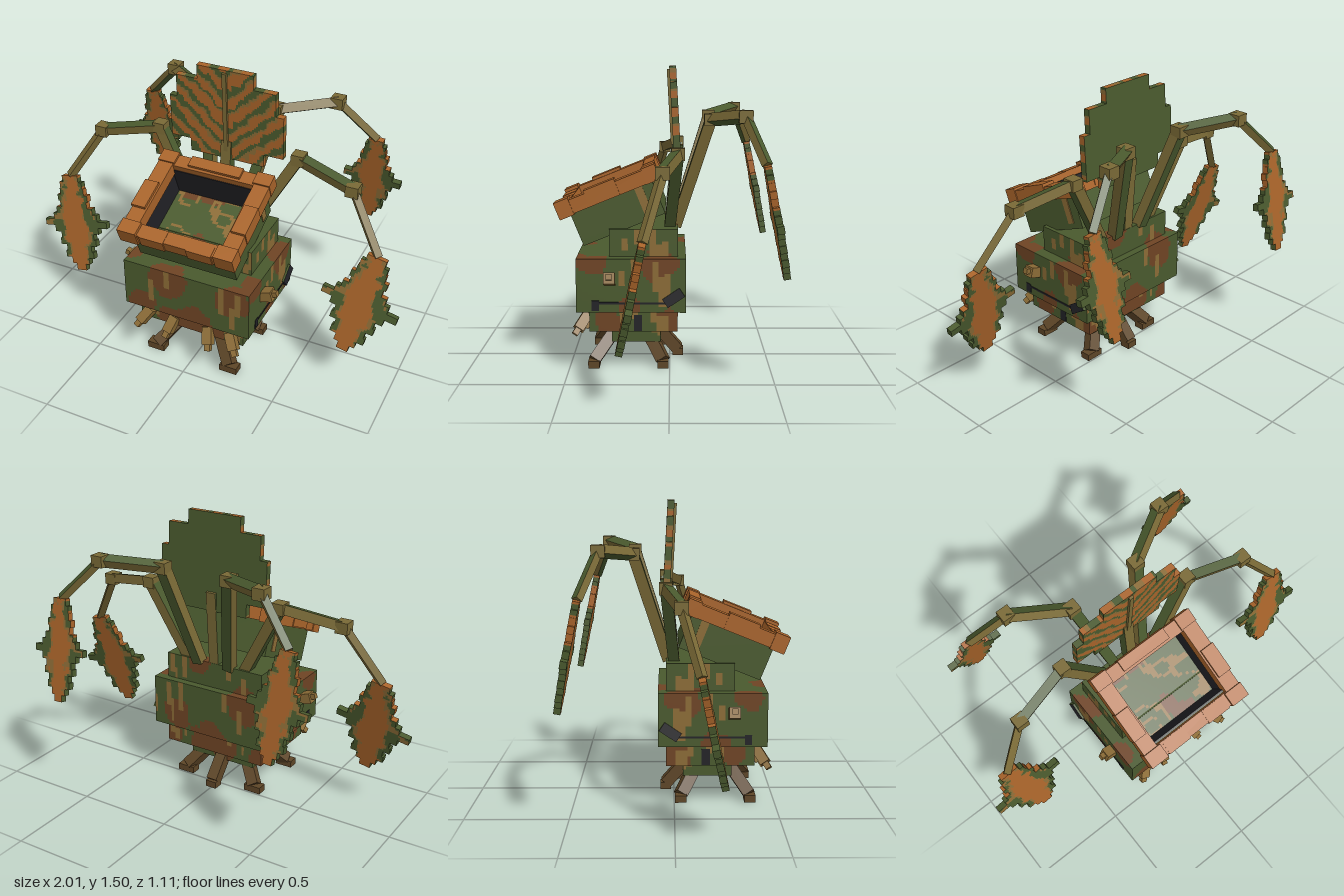
import * as THREE from 'three';

const COLORS = {
  mossGreen: 0x4a5a2e, barkBrown: 0x6f4424, ochre: 0x8c6c36, olive: 0x7a6a36,
  rustOrange: 0xa9642a, nearBlack: 0x222226, darkWood: 0x5e4627,
};
const [GREEN, BROWN, OCHRE, OLIVE, ORANGE, BLACK, WOOD] = [0, 1, 2, 3, 4, 5, 6];
const V = (x, y, z) => new THREE.Vector3(x, y, z);

// Seeded value noise for the mottled pattern
const hash = (x, y, z) => {
  const s = Math.sin(x * 127.1 + y * 311.7 + z * 74.7) * 43758.5453;
  return s - Math.floor(s);
};
function noise(x, y, z) {
  const i = [x, y, z].map(Math.floor), f = [x - i[0], y - i[1], z - i[2]].map((t) => t * t * (3 - 2 * t));
  let sum = 0;
  for (let k = 0; k < 8; k++) {
    const b = [k & 1, (k >> 1) & 1, k >> 2];
    const w = b.reduce((p, on, n) => p * (on ? f[n] : 1 - f[n]), 1);
    sum += w * hash(i[0] + b[0], i[1] + b[1], i[2] + b[2]);
  }
  return sum;
}

// Brown blotches on the body: x, y, z, radius
const BLOTCHES = [
  [-0.1, 0.51, 0.45, 0.1], [0.25, 0.5, 0.45, 0.08], [0.05, 0.32, 0.45, 0.09], [-0.25, 0.34, 0.45, 0.07],
  [0, 0.2, 0.42, 0.19], [-0.2, 0.53, -0.08, 0.1], [0.2, 0.4, -0.08, 0.08], [0, 0.24, -0.05, 0.14],
  [0.1, 0.7, -0.04, 0.07],
  ...[-1, 1].flatMap((s) => [
    [s * 0.34, 0.56, 0.36, 0.07], [s * 0.34, 0.54, 0.05, 0.09], [s * 0.34, 0.33, 0.2, 0.06],
    [s * 0.29, 0.25, 0, 0.08], [s * 0.29, 0.26, 0.3, 0.06],
  ]),
];

// Rules give a palette index from a point and its face normal
const bodyRule = (top, spread) => (p, n) => {
  if (n.y < -0.5) return BROWN;
  const along = Math.abs(n.z) > 0.5 ? p.x * (n.z > 0 ? 1 : 1.1) : p.z + 3;
  const column = Math.floor(along / 0.03), h = hash(column, 5, 2);
  const start = top - spread * 0.5 * hash(column, 9, 1);
  if (n.y < 0.5 && h > 0.74 && p.y < start && p.y > start - spread * (0.3 + 0.5 * hash(column, 2, 8))) return OCHRE;
  const ragged = 0.05 * (noise(p.x * 18 + 5, p.y * 18, p.z * 18 + 2) - 0.5);
  return BLOTCHES.some(([x, y, z, r]) => p.distanceTo(V(x, y, z)) < r + ragged) ? BROWN : GREEN;
};
const floorRule = (p) => {
  if (Math.abs(noise(p.x * 14 + 3, 4, p.z * 14) - 0.55) < 0.06) return OCHRE;
  return noise(p.x * 12 + 8, 9, p.z * 12) > 0.66 ? BROWN : GREEN;
};
const hoodRule = (p, n) => {
  if (n.z < -0.5) return GREEN;
  const x = Math.abs(p.x);
  const rib = (p.y - x) / 0.1 + 0.5 * noise(p.x * 25, p.y * 25, 1) + 20.3;
  const t = rib - Math.floor(rib), width = 0.62 - 0.9 * x;
  if (t < width) return ORANGE;
  return t < width + 0.15 ? OCHRE : GREEN;
};

export function createModel() {
  const root = new THREE.Group();
  root.name = 'pitcherPlantCreature';
  const mats = Object.entries(COLORS).map(([name, color]) => {
    const m = new THREE.MeshStandardMaterial({ color });
    m.name = name;
    return m;
  });

  const add = (parent, name, geometry, material, x = 0, y = 0, z = 0) => {
    const mesh = new THREE.Mesh(geometry, material);
    mesh.name = name;
    mesh.position.set(x, y, z);
    parent.add(mesh);
    return mesh;
  };
  const box = (parent, name, color, w, h, d, x, y, z) =>
    add(parent, name, new THREE.BoxGeometry(w, h, d), mats[color], x, y, z);

  // Box whose faces are cut into cells, each coloured by a rule
  function patterned(parent, name, [w, h, d], [x, y, z], rule, cell = 0.015) {
    const seg = [w, h, d].map((s) => Math.max(1, Math.round(s / cell)));
    const g = new THREE.BoxGeometry(w, h, d, ...seg);
    const idx = g.index.array, pos = g.attributes.position, nor = g.attributes.normal;
    const buckets = mats.map(() => []), a = V(), b = V(), n = V();
    for (let i = 0; i < idx.length; i += 6) {
      a.fromBufferAttribute(pos, idx[i + 1]).add(b.fromBufferAttribute(pos, idx[i + 2])).multiplyScalar(0.5);
      a.add(b.set(x, y, z));
      buckets[rule(a, n.fromBufferAttribute(nor, idx[i]))].push(...idx.slice(i, i + 6));
    }
    g.setIndex(buckets.flat());
    g.clearGroups();
    let start = 0;
    buckets.forEach((list, m) => {
      if (list.length) g.addGroup(start, list.length, m);
      start += list.length;
    });
    return add(parent, name, g, mats, x, y, z);
  }

  // Square beam between two points with its own colour on the x sides
  function beam(name, a, b, size, color, sides) {
    const dir = b.clone().sub(a), c = mats[color], s = mats[sides];
    const mesh = add(root, name, new THREE.BoxGeometry(size, dir.length(), size), [s, s, c, c, c, c]);
    mesh.position.copy(a).add(b).multiplyScalar(0.5);
    mesh.quaternion.setFromUnitVectors(V(0, 1, 0), dir.normalize());
  }

  // Stacked body
  patterned(root, 'belly', [0.69, 0.265, 0.533], [0, 0.4425, 0.187], bodyRule(0.58, 0.22));
  patterned(root, 'shoulders', [0.57, 0.135, 0.335], [0, 0.6425, 0.1275], bodyRule(0.72, 0.18));
  patterned(root, 'lowerBelly', [0.58, 0.11, 0.435], [0, 0.255, 0.1775], bodyRule(0.32, 0.1));
  patterned(root, 'bodyBase', [0.38, 0.08, 0.245], [0, 0.16, 0.1675], bodyRule(0.2, 0.04));

  // Tilted pitcher, hollow with dark inner walls
  const pitcher = new THREE.Group();
  pitcher.name = 'pitcher';
  pitcher.position.set(0, 0.705, 0.22);
  pitcher.rotation.x = 0.385;
  root.add(pitcher);
  patterned(pitcher, 'pitcherFloor', [0.53, 0.03, 0.43], [0, 0.015, 0], (p, n) => (n.y > 0.5 ? floorRule(p) : GREEN));
  for (const s of [-1, 1]) {
    box(pitcher, 'pitcherSide', GREEN, 0.03, 0.2, 0.43, s * 0.25, 0.1, 0);
    box(pitcher, 'pitcherEnd', GREEN, 0.47, 0.2, 0.03, 0, 0.1, s * 0.2);
    box(pitcher, 'innerSide', BLACK, 0.008, 0.17, 0.37, s * 0.231, 0.115, 0);
    box(pitcher, 'innerEnd', BLACK, 0.46, 0.17, 0.008, 0, 0.115, s * 0.181);
    box(pitcher, 'pitcherStripe', OCHRE, 0.006, 0.14, 0.04, s * 0.266, 0.1, -0.14);
    // Lip bars with raised blocks
    box(pitcher, 'lipSide', ORANGE, 0.08, 0.07, 0.5, s * 0.26, 0.205, 0.005);
    box(pitcher, 'lipEnd', ORANGE, 0.46, 0.062, 0.07, 0, 0.204, 0.005 + s * 0.22);
    box(pitcher, 'lipSideBlock', ORANGE, 0.075, 0.08, 0.16, s * 0.267, 0.215, 0.03);
    box(pitcher, 'lipFrontCorner', ORANGE, 0.1, 0.088, 0.075, s * 0.255, 0.208, 0.23);
    box(pitcher, 'lipFrontBlock', ORANGE, 0.13, 0.066, 0.074, s * 0.125, 0.204, 0.229);
    box(pitcher, 'lipBackCorner', ORANGE, 0.09, 0.08, 0.07, s * 0.258, 0.208, -0.222);
  }
  box(pitcher, 'lipBackBlock', ORANGE, 0.28, 0.066, 0.06, 0, 0.216, -0.224);

  // Hood leaf on its stem
  beam('hoodStem', V(0, 0.7, -0.01), V(0, 1.1, -0.04), 0.055, OLIVE, GREEN);
  const hood = new THREE.Group();
  hood.name = 'hoodLeaf';
  hood.position.set(0, 1.02, -0.04);
  hood.rotation.x = 0.055;
  root.add(hood);
  for (const [half, low, high] of [[0.2, -0.02, 0.05], [0.305, 0.05, 0.28], [0.265, 0.28, 0.4], [0.15, 0.4, 0.475]]) {
    patterned(hood, 'hoodSection', [half * 2, high - low, 0.034], [0, (low + high) / 2, 0], hoodRule, 0.011);
  }
  box(hood, 'hoodMidrib', OLIVE, 0.022, 0.46, 0.014, 0, 0.23, 0.023);

  // Hanging leaf: half widths for equal rows from top to tip
  const rows = [0.05, 0.07, 0.075, 0.095, 0.085, 0.115, 0.14, 0.198, 0.14, 0.105, 0.115, 0.08, 0.09, 0.055, 0.03];
  function hangingLeaf(top, tip, widthScale) {
    const leaf = new THREE.Group(), dir = tip.clone().sub(top), step = dir.length() / rows.length;
    leaf.name = 'hangingLeaf';
    leaf.position.copy(top);
    leaf.quaternion.setFromUnitVectors(V(0, -1, 0), dir.normalize());
    root.add(leaf);
    rows.forEach((r, i) => {
      const half = r * widthScale;
      const core = (0.03 + 0.034 * Math.sin((Math.PI * (i + 0.5)) / rows.length)) * widthScale;
      const rule = (p, n) => {
        if (Math.abs(n.z) < 0.5) return i < 6 && noise(p.y * 40 + 3, 2, 6) > 0.4 ? ORANGE : GREEN;
        const edge = Math.abs(p.x) - core - 0.06 * (noise(p.x * 30 + 9, p.y * 30, 2) - 0.5);
        if (edge < 0) return ORANGE;
        return edge < 0.01 || noise(p.x * 25, p.y * 25 + 7, 5) > 0.76 ? OCHRE : GREEN;
      };
      patterned(leaf, 'leafRow', [half * 2, step, 0.033], [0, -(i + 0.5) * step, 0], rule, 0.0115);
    });
  }

  for (const s of [-1, 1]) {
    // Jointed arms, front and rear pair
    const arms = [
      { path: [[0.17, 0.7, 0], [0.38, 1.085, -0.04], [0.685, 1.03, 0.03], [0.86, 0.75, 0.115]], tip: [0.755, 0.23, 0.225], width: 1, sides: [GREEN, GREEN, OLIVE] },
      { path: [[0.09, 0.7, -0.03], [0.19, 1.235, -0.2], [0.455, 1.265, -0.352], [0.645, 1.06, -0.435]], tip: [0.61, 0.54, -0.535], width: 0.78, sides: [OLIVE, GREEN, GREEN] },
    ];
    for (const { path, tip, width, sides } of arms) {
      const pts = path.map(([x, y, z]) => V(s * x, y, z));
      for (let i = 0; i < 3; i++) {
        beam('armSegment', pts[i], pts[i + 1], [0.055, 0.048, 0.036][i], sides[i] === OLIVE && i === 0 ? GREEN : OLIVE, sides[i]);
      }
      for (const p of pts.slice(1, 3)) box(root, 'armJoint', OLIVE, 0.064, 0.058, 0.064, p.x, p.y, p.z);
      hangingLeaf(pts[3], V(s * tip[0], tip[1], tip[2]), width);
    }

    // Side thorn, dark side plate and seam
    const thorn = new THREE.Group();
    thorn.name = 'sideThorn';
    thorn.position.set(s * 0.345, 0.475, 0.29);
    thorn.rotation.z = s * 0.3;
    root.add(thorn);
    box(thorn, 'thornBase', OCHRE, 0.07, 0.055, 0.055, s * 0.025, 0, 0);
    box(thorn, 'thornTip', OCHRE, 0.03, 0.028, 0.028, s * 0.07, 0.005, 0);
    const plate = box(root, 'sidePlate', BLACK, 0.02, 0.05, 0.1, s * 0.35, 0.385, -0.02);
    plate.material = [BLACK, BLACK, GREEN, BLACK, BLACK, GREEN].map((c) => mats[c]);
    plate.rotation.set(0.6, 0, s * 0.15);
    box(root, 'sideSeam', BLACK, 0.006, 0.01, 0.34, s * 0.345, 0.357, 0.19);
    box(root, 'sideMark', BLACK, 0.006, 0.05, 0.035, s * 0.345, 0.345, 0.36);
    box(root, 'lowerSideMark', BLACK, 0.006, 0.08, 0.04, s * 0.29, 0.245, 0.155);

    // Front claws pointing down and outward
    for (const [x, y, z, tilt] of [[0.245, 0.24, 0.43, 0.5], [0.105, 0.215, 0.415, 0.25]]) {
      const claw = new THREE.Group();
      claw.name = 'frontClaw';
      claw.position.set(s * x, y, z);
      claw.rotation.set(-0.6, 0, s * tilt);
      root.add(claw);
      box(claw, 'clawBase', OCHRE, 0.05, 0.09, 0.05, 0, 0, 0);
      box(claw, 'clawTip', OCHRE, 0.03, 0.035, 0.03, 0, -0.06, 0);
    }
  }

  // Five splayed legs with block feet
  for (const [x, z, hx, hz] of [[0.21, 0.378, 0.1, 0.27], [-0.21, 0.378, -0.1, 0.27], [0.21, 0.033, 0.1, 0.12], [-0.21, 0.033, -0.1, 0.12], [0, -0.042, 0, 0.08]]) {
    beam('leg', V(hx, 0.17, hz), V(x, 0.03, z), 0.06, WOOD, WOOD);
    box(root, 'foot', WOOD, x ? 0.095 : 0.06, 0.036, 0.056, x, 0.018, z);
  }
  return root;
}
